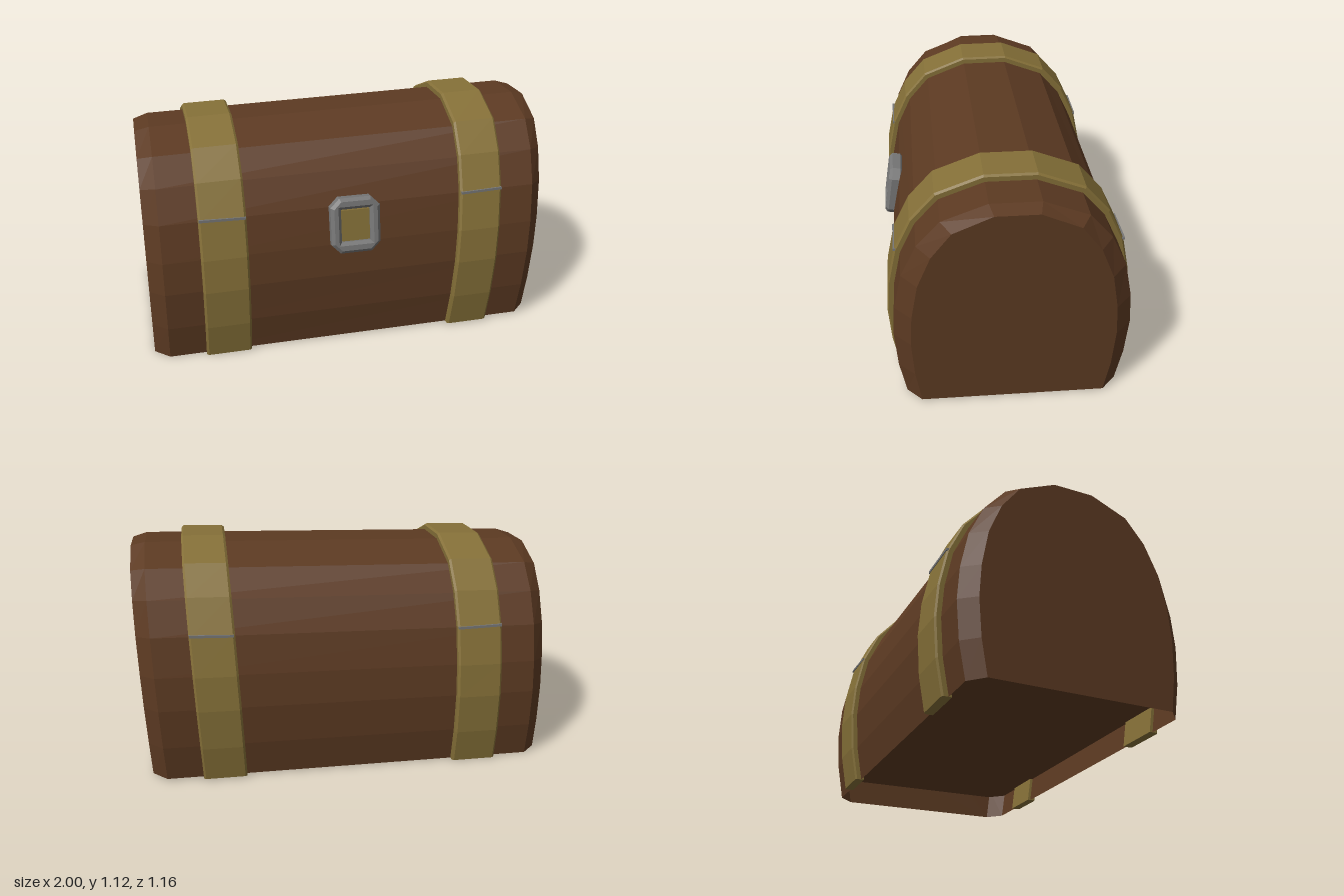
import * as THREE from 'three';

const mat = (color) => new THREE.MeshStandardMaterial({ color, flatShading: true, side: THREE.DoubleSide });

// Half of the barrel cross-section as [z, relative height], mirrored front to back
const HALF = [[0.5, 0], [0.53, 0.165], [0.542, 0.345], [0.53, 0.495], [0.492, 0.665], [0.42, 0.81], [0.315, 0.925], [0.112, 1]];
const PROFILE = [...HALF, ...HALF.map(([z, y]) => [-z, y]).reverse()];

// Hand-made distortion: the right end is taller and leans outwards
function warp(x, z, y) {
  const t = (x + 0.93) / 1.84;
  const k = THREE.MathUtils.clamp((x + 0.55) / 1.1, 0, 1);
  const height = 0.015 + 0.008 * t + y * (1.043 + 0.042 * t);
  return new THREE.Vector3(x + k * (0.05 * height - 0.025 * z), height, z - 0.015 * (1 - t));
}

// One cross-section of the chest, pushed out by off and scaled towards its middle
function ring(x, off = 0, sz = 1, sy = 1, profile = PROFILE) {
  return profile.map(([z, y], i) => {
    const a = profile[Math.max(i - 1, 0)], b = profile[Math.min(i + 1, profile.length - 1)];
    let ny = a[0] - b[0], nz = b[1] - a[1];
    if (i === 0 || i === profile.length - 1) { ny = 0; nz = Math.sign(z); }
    const l = Math.hypot(ny, nz) || 1;
    return warp(x, z * sz + off * nz / l, y * sy + off * ny / l);
  });
}

// Skin over a row of cross-sections
function loft(rings, { closed = false, ends = false, tips = false } = {}) {
  const n = rings[0].length, m = rings.length, index = [];
  for (let i = 0; i < (closed ? m : m - 1); i++) {
    for (let j = 0; j < n - 1; j++) {
      const a = i * n + j, b = ((i + 1) % m) * n + j;
      index.push(a, b, b + 1, a, b + 1, a + 1);
    }
  }
  // flat end walls
  if (ends) {
    for (let j = 1; j < n - 1; j++) {
      const e = (m - 1) * n;
      index.push(0, j, j + 1, e, e + j + 1, e + j);
    }
  }
  // caps on the two feet of a band
  if (tips) {
    for (let i = 1; i < m - 1; i++) {
      index.push(0, (i + 1) * n, i * n, n - 1, i * n + n - 1, (i + 1) * n + n - 1);
    }
  }
  const g = new THREE.BufferGeometry().setFromPoints(rings.flat());
  g.setIndex(index);
  const flat = g.toNonIndexed();
  flat.computeVertexNormals();
  return flat;
}

function rect(Type, w, h, cut) {
  const s = new Type();
  s.moveTo(-w + cut, -h);
  s.lineTo(w - cut, -h);
  if (cut) s.lineTo(w, -h + cut);
  s.lineTo(w, h - cut);
  if (cut) s.lineTo(w - cut, h);
  s.lineTo(-w + cut, h);
  if (cut) s.lineTo(-w, h - cut);
  s.lineTo(-w, -h + cut);
  s.closePath();
  return s;
}

export function createModel() {
  const group = new THREE.Group();
  const wood = mat(0x5c3a22), brass = mat(0x857038), iron = mat(0x777777);
  const add = (name, geometry, material, parent = group) => {
    const mesh = new THREE.Mesh(geometry, material);
    mesh.name = name;
    parent.add(mesh);
    return mesh;
  };

  // Rounded body with chamfered ends, open underneath
  add('body', loft([
    ring(-0.995, 0, 0.87, 0.982), ring(-0.925), ring(0.875), ring(0.945, 0, 0.86, 0.982),
  ], { ends: true }), wood);

  // Floor set up inside the walls
  const floorLine = [[0.52, 0.12], [-0.52, 0.12]];
  add('floor', loft([
    ring(-0.99, 0, 0.87, 1, floorLine), ring(-0.925, 0, 1, 1, floorLine),
    ring(0.875, 0, 1, 1, floorLine), ring(0.945, 0, 0.86, 1, floorLine),
  ]), wood);

  // Two bands with softened edges, each with a seam at front and back
  for (const [side, x0, x1] of [['right', -0.75, -0.53], ['left', 0.49, 0.7]]) {
    add(side + 'Band', loft([
      ring(x0, -0.015), ring(x0, 0.022), ring(x0 + 0.01, 0.03),
      ring(x1 - 0.01, 0.03), ring(x1, 0.022), ring(x1, -0.015),
    ], { closed: true, tips: true }), brass);
    const points = ring((x0 + x1) / 2, 0.028);
    for (const [end, i] of [['Front', 4], ['Back', PROFILE.length - 5]]) {
      const seam = add(side + end + 'Seam', new THREE.BoxGeometry(x1 - x0 - 0.004, 0.012, 0.014), iron);
      seam.position.copy(points[i]);
      seam.rotation.z = side === 'left' ? 0.04 : -0.02;
    }
  }

  // Lock: bevelled frame around a brass plate
  const lock = new THREE.Group();
  lock.name = 'lock';
  const frame = rect(THREE.Shape, 0.105, 0.12, 0.035);
  frame.holes.push(rect(THREE.Path, 0.085, 0.095, 0));
  add('lockFrame', new THREE.ExtrudeGeometry(frame, {
    depth: 0.04, bevelEnabled: true, bevelThickness: 0.015, bevelSize: 0.015, bevelSegments: 1,
  }), iron, lock);
  add('lockPlate', new THREE.BoxGeometry(0.135, 0.15, 0.04), brass, lock).position.z = 0.022;
  lock.position.set(-0.017, 0.637, 0.497);
  lock.rotation.x = -0.16;
  group.add(lock);

  return group;
}
